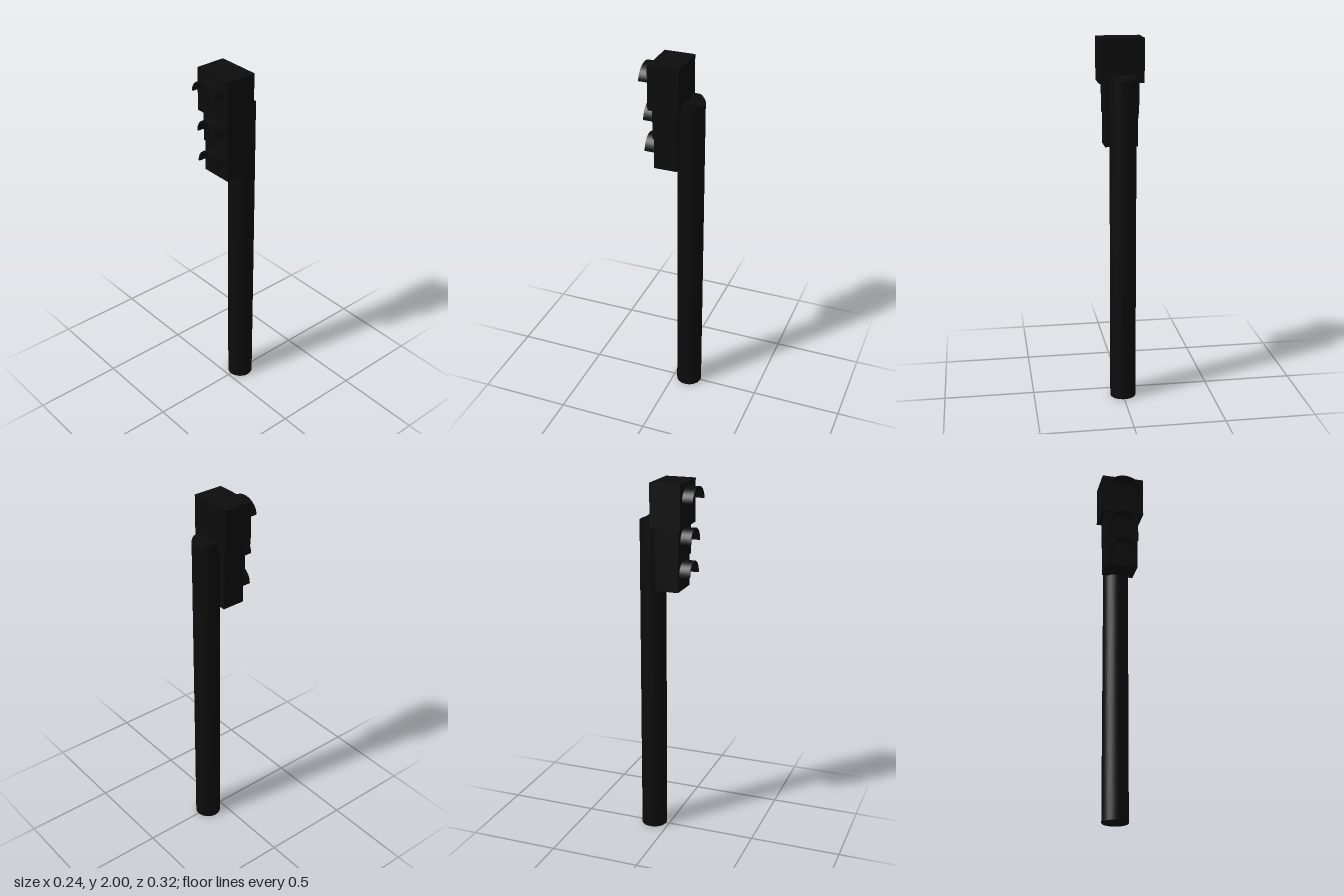
import * as THREE from 'three';

export function createModel() {
  const group = new THREE.Group();
  const black = new THREE.MeshStandardMaterial({ color: 0x0c0c0c });
  black.name = 'black';

  const add = (name, geometry, x, y, z) => {
    const mesh = new THREE.Mesh(geometry, black);
    mesh.name = name;
    mesh.position.set(x, y, z);
    group.add(mesh);
  };

  // Round pole; its top rim drops at the back and where it meets the lamp boxes
  const poleZ = -0.091, poleTop = 1.81;
  const pole = new THREE.CylinderGeometry(0.0715, 0.0715, poleTop, 40);
  pole.translate(0, poleTop / 2, 0);
  const p = pole.attributes.position;
  for (let i = 0; i < p.count; i++) {
    if (p.getY(i) < 1) continue;
    const z = p.getZ(i) + poleZ;
    if (z < -0.12) p.setY(i, poleTop - (-0.12 - z) * 0.6);
    else if (z > -0.06) p.setY(i, 1.745);
  }
  add('pole', pole, -0.001, 0, poleZ);

  // Arched visor: a thin half-elliptical hood
  const visor = (rx, ry, depth) => {
    const t = 0.009;
    const shape = new THREE.Shape();
    shape.absellipse(0, 0, rx, ry, 0, Math.PI, false);
    shape.lineTo(-rx + t, 0);
    shape.absellipse(0, 0, rx - t, ry - t, Math.PI, 0, true);
    shape.closePath();
    return new THREE.ExtrudeGeometry(shape, { depth, bevelEnabled: false, curveSegments: 24 });
  };

  // Three stacked lamp boxes, each with its visor
  const lamps = [
    { name: 'upper', x: 0, w: 0.24, y0: 1.765, y1: 2.0, z0: -0.064, z1: 0.103, rx: 0.092, vy: 1.902, ry: 0.074, tip: 0.162 },
    { name: 'middle', x: -0.001, w: 0.188, y0: 1.598, y1: 1.765, z0: -0.045, z1: 0.088, rx: 0.073, vy: 1.682, ry: 0.077, tip: 0.147 },
    { name: 'lower', x: -0.001, w: 0.178, y0: 1.424, y1: 1.598, z0: -0.045, z1: 0.083, rx: 0.073, vy: 1.506, ry: 0.077, tip: 0.142 },
  ];
  for (const l of lamps) {
    add(l.name + 'LampBox', new THREE.BoxGeometry(l.w, l.y1 - l.y0, l.z1 - l.z0),
      l.x, (l.y0 + l.y1) / 2, (l.z0 + l.z1) / 2);
    add(l.name + 'Visor', visor(l.rx, l.ry, l.tip - l.z1 + 0.002), l.x, l.vy, l.z1 - 0.002);
  }

  return group;
}
